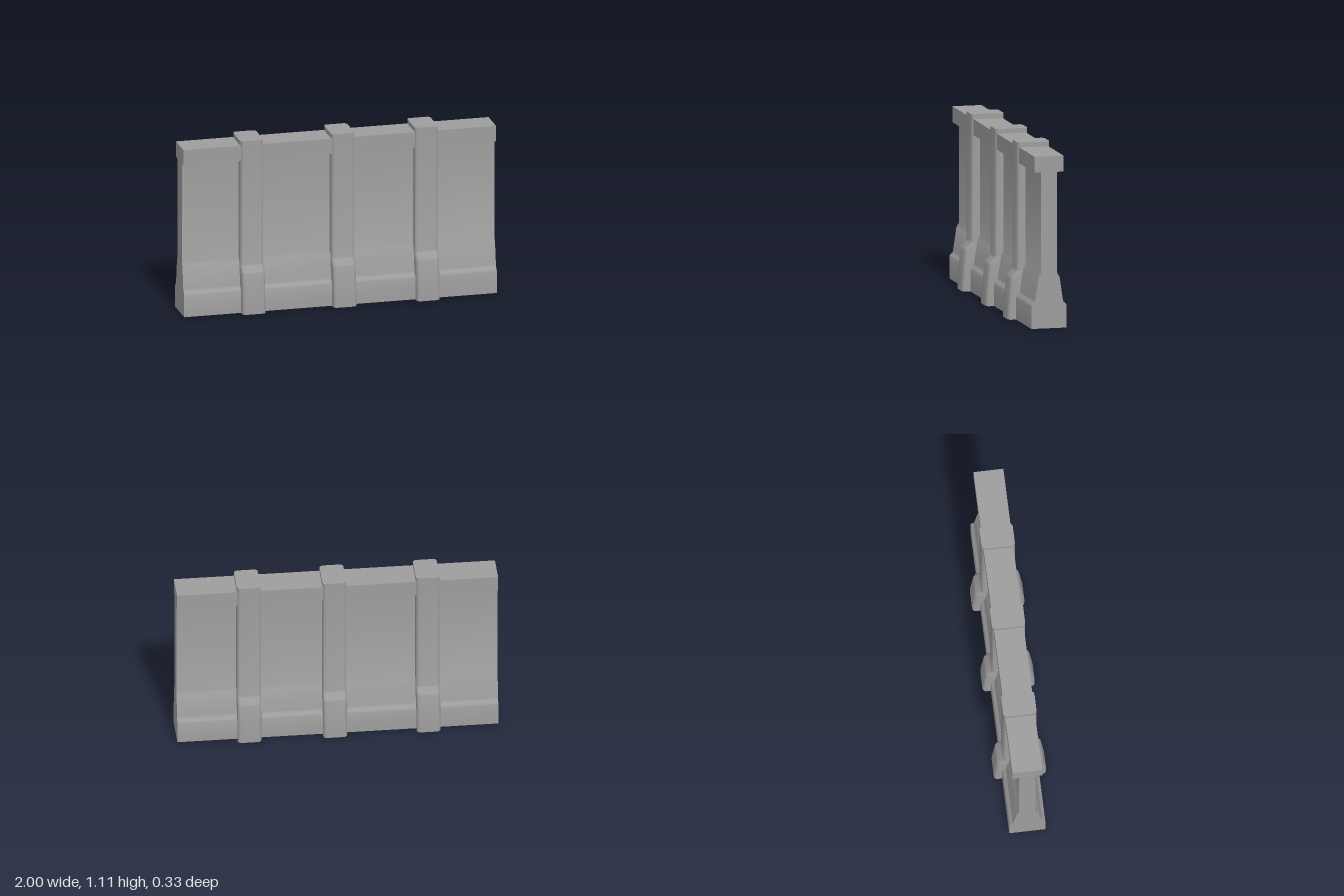
import * as THREE from 'three';
import { toCreasedNormals } from 'three/addons/utils/BufferGeometryUtils.js';

const CREASE = 0.9;

// Rounded-rectangle ring, from +x towards +z
function ring(halfW, halfD, r, steps = 3) {
  const pts = [];
  const signs = [[1, 1], [-1, 1], [-1, -1], [1, -1]];
  signs.forEach(([sx, sz], q) => {
    for (let i = 0; i <= steps; i++) {
      const a = (q + i / steps) * Math.PI / 2;
      pts.push([sx * (halfW - r) + r * Math.cos(a), sz * (halfD - r) + r * Math.sin(a)]);
    }
  });
  return pts;
}

// Closed solid lofted through [halfDepth, height] levels
function pillarGeometry(levels, halfW, r) {
  const pos = [], idx = [];
  let n = 0;
  for (const [d, y] of levels) {
    const pts = ring(halfW, d, r);
    n = pts.length;
    for (const [x, z] of pts) pos.push(x, y, z);
  }
  const last = levels.length - 1;
  for (let j = 0; j < last; j++) {
    for (let i = 0; i < n; i++) {
      const k = (i + 1) % n;
      const a = j * n + i, b = j * n + k, c = a + n, d = b + n;
      idx.push(a, c, b, b, c, d);
    }
  }
  // Flat bottom and top
  for (let i = 1; i < n - 1; i++) {
    idx.push(0, i, i + 1);
    idx.push(last * n, last * n + i + 1, last * n + i);
  }
  const g = new THREE.BufferGeometry();
  g.setAttribute('position', new THREE.Float32BufferAttribute(pos, 3));
  g.setIndex(idx);
  return toCreasedNormals(g, CREASE);
}

export function createModel() {
  const model = new THREE.Group();
  model.name = 'wallSection';
  const stone = new THREE.MeshStandardMaterial({ color: 0x9d9d9d });

  const add = (name, geometry, x = 0, y = 0) => {
    const mesh = new THREE.Mesh(geometry, stone);
    mesh.name = name;
    mesh.position.set(x, y, 0);
    model.add(mesh);
  };

  // Wall with stepped, flared foot: [halfDepth, height] mirrored front to back
  const side = [
    [0.113, 0], [0.113, 0.138], [0.108, 0.15], [0.092, 0.164],
    [0.089, 0.175], [0.067, 0.322], [0.054, 0.342], [0.052, 0.35], [0.052, 0.99],
  ];
  const outline = [...side, ...side.map(([d, y]) => [-d, y]).reverse()];
  const shape = new THREE.Shape(outline.map(([d, y]) => new THREE.Vector2(d, y)));
  const wall = new THREE.ExtrudeGeometry(shape, { depth: 2, bevelEnabled: false });
  wall.translate(0, 0, -1).rotateY(Math.PI / 2);
  add('wall', toCreasedNormals(wall, CREASE));

  // Coping along the top
  add('coping', new THREE.BoxGeometry(2, 0.1, 0.186), 0, 1.03);

  // Buttress pillars wrapping over the wall
  const levels = [
    [0.163, 0], [0.163, 0.06], [0.143, 0.255], [0.139, 0.268],
    [0.109, 0.298], [0.104, 0.312], [0.104, 1.11],
  ];
  const pillar = pillarGeometry(levels, 0.074, 0.022);
  [-0.562, 0.02, 0.553].forEach((x, i) => add(`pillar${i + 1}`, pillar, x));

  return model;
}
